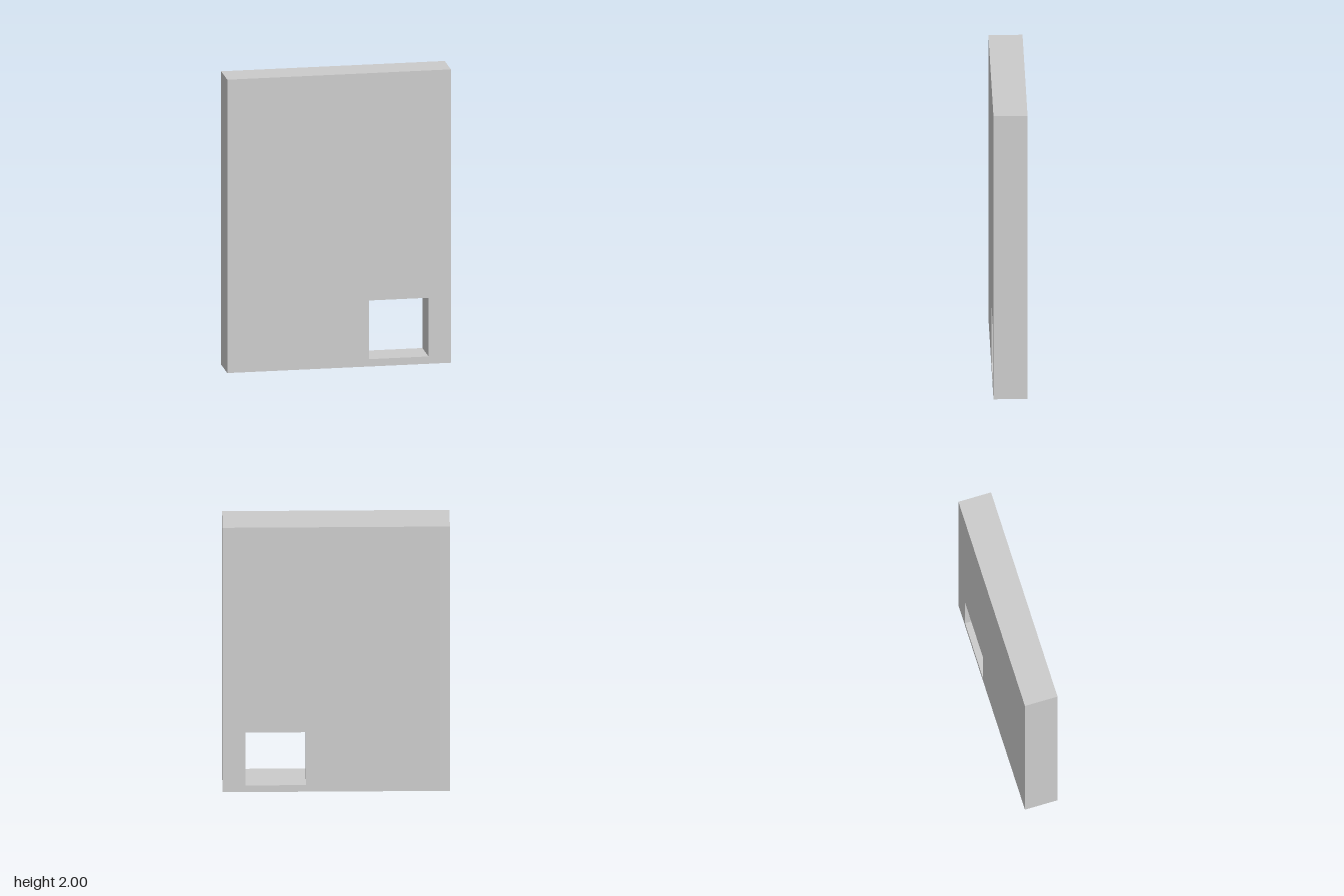
import * as THREE from 'three';

const WIDTH = 1.5, HEIGHT = 2, DEPTH = 0.225;

// Corners of a rectangle, counter-clockwise
function rectangle(x0, y0, x1, y1) {
  return [[x0, y0], [x1, y0], [x1, y1], [x0, y1]].map(([x, y]) => new THREE.Vector2(x, y));
}

export function createModel() {
  const group = new THREE.Group();
  group.name = 'wallPanel';

  // Upright slab with a square opening low on its left side
  const outline = new THREE.Shape(rectangle(-WIDTH / 2, 0, WIDTH / 2, HEIGHT));
  outline.holes.push(new THREE.Path(rectangle(0.2, 0.05, 0.6, 0.45).reverse()));

  const geometry = new THREE.ExtrudeGeometry(outline, { depth: DEPTH, bevelEnabled: false });
  geometry.translate(0, 0, -DEPTH / 2);

  const wall = new THREE.Mesh(
    geometry,
    new THREE.MeshStandardMaterial({ color: 0xcccccc, flatShading: true })
  );
  wall.name = 'wallWithOpening';
  group.add(wall);

  return group;
}
